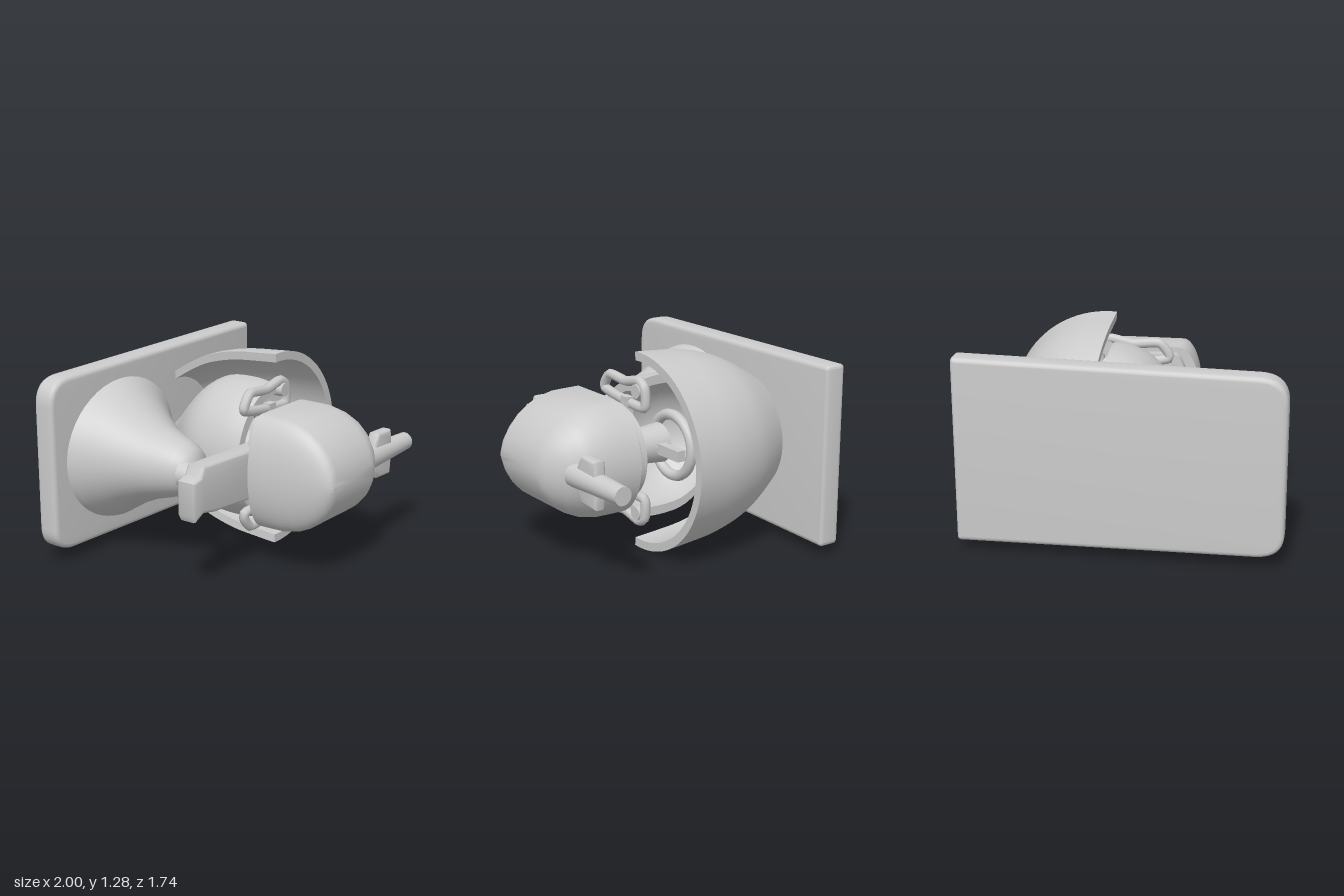
import * as THREE from 'three';
import { toCreasedNormals } from 'three/addons/utils/BufferGeometryUtils.js';

const MID = 0.64; // height of the shared horizontal axis
const grey = new THREE.MeshStandardMaterial({ color: 0xcccccc });
const greyBoth = new THREE.MeshStandardMaterial({ color: 0xcccccc, side: THREE.DoubleSide });

function add(parent, name, geometry, x = 0, y = 0, z = 0, material = grey) {
  const m = new THREE.Mesh(geometry, material);
  m.name = name;
  m.position.set(x, y, z);
  parent.add(m);
  return m;
}

// Skin over counter-clockwise rings stacked along +z, both ends capped
function loft(rings, crease = 0.6) {
  const n = rings[0].length, pos = [], idx = [];
  rings.forEach(r => r.forEach(p => pos.push(...p)));
  for (let i = 0; i < rings.length - 1; i++) for (let j = 0; j < n; j++) {
    const a = i * n + j, b = i * n + (j + 1) % n;
    idx.push(a, b, b + n, a, b + n, a + n);
  }
  [0, rings.length - 1].forEach((k, end) => {
    const c = pos.length / 3, mean = [0, 1, 2].map(d => rings[k].reduce((s, p) => s + p[d] / n, 0));
    pos.push(...mean);
    for (let j = 0; j < n; j++) {
      const a = k * n + j, b = k * n + (j + 1) % n;
      idx.push(...(end ? [c, a, b] : [c, b, a]));
    }
  });
  const g = new THREE.BufferGeometry();
  g.setAttribute('position', new THREE.Float32BufferAttribute(pos, 3));
  g.setIndex(idx);
  return toCreasedNormals(g, crease);
}

// Stadium-like ring: independent left and right bulges around a flat middle
function ring(z, xl, xr, h, flatL, flatR, n = 48) {
  return Array.from({ length: n }, (_, i) => {
    const t = (i + 0.5) / n * Math.PI * 2, c = Math.cos(t);
    const x = c > 0 ? flatR + (xr - flatR) * c : flatL - (xl - flatL) * c;
    return [x, MID + h * Math.sin(t), z];
  });
}

function slab(points, depth, bevel = 0.02) {
  const s = new THREE.Shape(points.map(p => new THREE.Vector2(...p)));
  const g = new THREE.ExtrudeGeometry(s, { depth: depth - 2 * bevel, bevelSize: bevel, bevelThickness: bevel, bevelOffset: -bevel, bevelSegments: 3 });
  g.translate(0, 0, bevel);
  return toCreasedNormals(g, 0.7);
}

// Part-turn bowl about the z axis with thick walls and closed cut edges
function bowl(name, outer, wall, start, length) {
  const group = new THREE.Group();
  group.name = name;
  const o = new THREE.SplineCurve(outer.map(p => new THREE.Vector2(...p))).getPoints(20);
  const inner = o.map(p => new THREE.Vector2(Math.max(p.x - wall, 0.01), p.y)).reverse();
  const profile = [...o, ...inner];
  const skin = new THREE.LatheGeometry([...profile, profile[0]], 48, start, length);
  skin.rotateX(Math.PI / 2);
  add(group, name + 'Wall', toCreasedNormals(skin, 0.6), 0, 0, 0, greyBoth);
  for (const a of [start, start + length]) {
    const dir = new THREE.Vector3(Math.sin(a), -Math.cos(a), 0), up = new THREE.Vector3(0, 0, 1);
    const cap = new THREE.ShapeGeometry(new THREE.Shape(profile));
    cap.applyMatrix4(new THREE.Matrix4().makeBasis(dir, up, dir.clone().cross(up)));
    add(group, name + 'Edge', cap, 0, 0, 0, greyBoth);
  }
  return group;
}

const zCylinder = (r1, r2, len) => new THREE.CylinderGeometry(r1, r2, len, 28).rotateX(Math.PI / 2);

export function createModel() {
  const root = new THREE.Group();
  root.name = 'model';

  // Back plate, large corner radii on its right, nearly square on its left
  const s = new THREE.Shape();
  s.moveTo(-0.83, 0.08);
  s.lineTo(0.97, 0.06);
  s.quadraticCurveTo(0.995, 0.06, 0.995, 0.09);
  s.lineTo(0.995, 1.2);
  s.quadraticCurveTo(0.995, 1.23, 0.97, 1.23);
  s.lineTo(-0.83, 1.205);
  s.quadraticCurveTo(-1, 1.2, -1, 1.03);
  s.lineTo(-1, 0.23);
  s.quadraticCurveTo(-1, 0.085, -0.83, 0.08);
  const plate = new THREE.ExtrudeGeometry(s, { depth: 0.09, bevelSize: 0.03, bevelThickness: 0.03, bevelOffset: -0.03, bevelSegments: 4, curveSegments: 10 });
  add(root, 'backPlate', toCreasedNormals(plate, 0.7), 0, 0, -0.825).rotation.y = -0.014;

  // Flared bracket: [z, left x, right x, half height]
  const flare = [[-0.74, -0.9, 0.2, 0.47], [-0.68, -0.86, 0.11, 0.45], [-0.58, -0.81, 0, 0.39], [-0.45, -0.765, -0.11, 0.31],
    [-0.3, -0.715, -0.22, 0.24], [-0.17, -0.675, -0.28, 0.2], [-0.08, -0.645, -0.31, 0.17], [-0.03, -0.62, -0.34, 0.14], [0.01, -0.58, -0.42, 0.09]];
  add(root, 'flaredBracket', loft(flare.map(([z, a, b, h]) => ring(z, a, b, h, (a + b) / 2, (a + b) / 2)), 1));

  // Ball joint between bracket and arm
  add(root, 'jointNeck', zCylinder(0.055, 0.055, 0.2), -0.57, MID, 0.06);
  add(root, 'jointCollar', zCylinder(0.075, 0.085, 0.07), -0.57, MID, 0.0);
  add(root, 'jointFlange', zCylinder(0.11, 0.085, 0.07), -0.57, MID, 0.15);

  // Side arm carrying the front housing
  add(root, 'sideArm', slab([[-0.9, 0.52], [-0.88, 0.48], [-0.8, 0.52], [-0.7, 0.5], [-0.38, 0.48], [0.1, 0.48],
    [0.1, 0.8], [-0.38, 0.8], [-0.8, 0.81], [-0.83, 0.75], [-0.9, 0.73]], 0.13), 0, 0, 0.18);

  // Large half bowl on the left
  const shell = bowl('largeShell', [[0.64, 0.14], [0.63, 0], [0.61, -0.2], [0.56, -0.4], [0.49, -0.55], [0.4, -0.7]], 0.055, -0.07, Math.PI + 0.14);
  shell.position.set(0.2, MID, 0);
  root.add(shell);

  // Smaller half bowl facing the other way
  const carrier = bowl('smallShell', [[0.44, 0.14], [0.465, 0], [0.455, -0.2], [0.39, -0.34], [0.27, -0.47], [0.15, -0.58], [0.07, -0.66]], 0.06, Math.PI, Math.PI);
  carrier.position.set(0.16, MID, 0);
  carrier.scale.x = 0.93;
  root.add(carrier);

  // Open frame brackets, mirrored above and below the axis
  for (const side of [1, -1]) {
    const bracket = new THREE.Group();
    bracket.name = side > 0 ? 'upperFrame' : 'lowerFrame';
    const pts = [[-0.18, 0.34], [-0.12, 0.44], [0.05, 0.43], [0.2, 0.46], [0.26, 0.42], [0.26, 0.3], [0.1, 0.3]];
    const path = new THREE.CatmullRomCurve3(pts.map(([x, y]) => new THREE.Vector3(x, MID + side * y, 0.14)), true, 'catmullrom', 0.3);
    add(bracket, 'frameLoop', new THREE.TubeGeometry(path, 60, 0.032, 8, true));
    add(bracket, 'frameBoss', zCylinder(0.045, 0.045, 0.08), 0.21, MID + side * 0.4, 0.14);
    add(bracket, 'framePost', new THREE.BoxGeometry(0.07, 0.32, 0.05), 0.08, MID + side * 0.18, 0.15);
    root.add(bracket);
  }

  // Hub, ring and spoke inside the bowls
  add(root, 'hub', zCylinder(0.1, 0.13, 0.34), 0.1, MID, 0.08);
  add(root, 'innerRing', new THREE.TorusGeometry(0.2, 0.035, 10, 40), 0.2, MID, -0.12);
  add(root, 'innerSpoke', new THREE.BoxGeometry(0.42, 0.07, 0.06), 0.22, MID, -0.02);

  // Mounting plates behind the housing
  add(root, 'mountPlate', loft([0.22, 0.26].map(z => ring(z, -0.25, 0.4, 0.3, -0.15, 0.12))));
  add(root, 'mountRim', loft([0.25, 0.33].map(z => ring(z, -0.3, 0.39, 0.33, -0.2, 0.12))));

  // Domed front housing: [z, left x, right x, half height]
  const dome = [[0.31, -0.375, 0.465, 0.365], [0.42, -0.37, 0.46, 0.365], [0.5, -0.36, 0.45, 0.364], [0.6, -0.35, 0.435, 0.342],
    [0.68, -0.335, 0.41, 0.305], [0.75, -0.32, 0.36, 0.255], [0.81, -0.305, 0.295, 0.19], [0.85, -0.29, 0.23, 0.12], [0.87, -0.27, 0.18, 0.05]];
  add(root, 'frontHousing', loft(dome.map(([z, a, b, h]) => ring(z, a, b, h, -0.22, 0.15)), 0.75));

  // Side nozzle with its lugs
  const nozzle = new THREE.Group();
  nozzle.name = 'sideNozzle';
  add(nozzle, 'nozzleStem', new THREE.CylinderGeometry(0.058, 0.08, 0.5, 24).rotateZ(-Math.PI / 2), 0.59, MID, 0.705);
  add(nozzle, 'nozzleLug', slab([[0.4, 0.56], [0.45, 0.49], [0.6, 0.485], [0.61, 0.55], [0.61, 0.73], [0.6, 0.785], [0.45, 0.79], [0.4, 0.7]], 0.08), 0, 0, 0.665);
  root.add(nozzle);

  return root;
}
